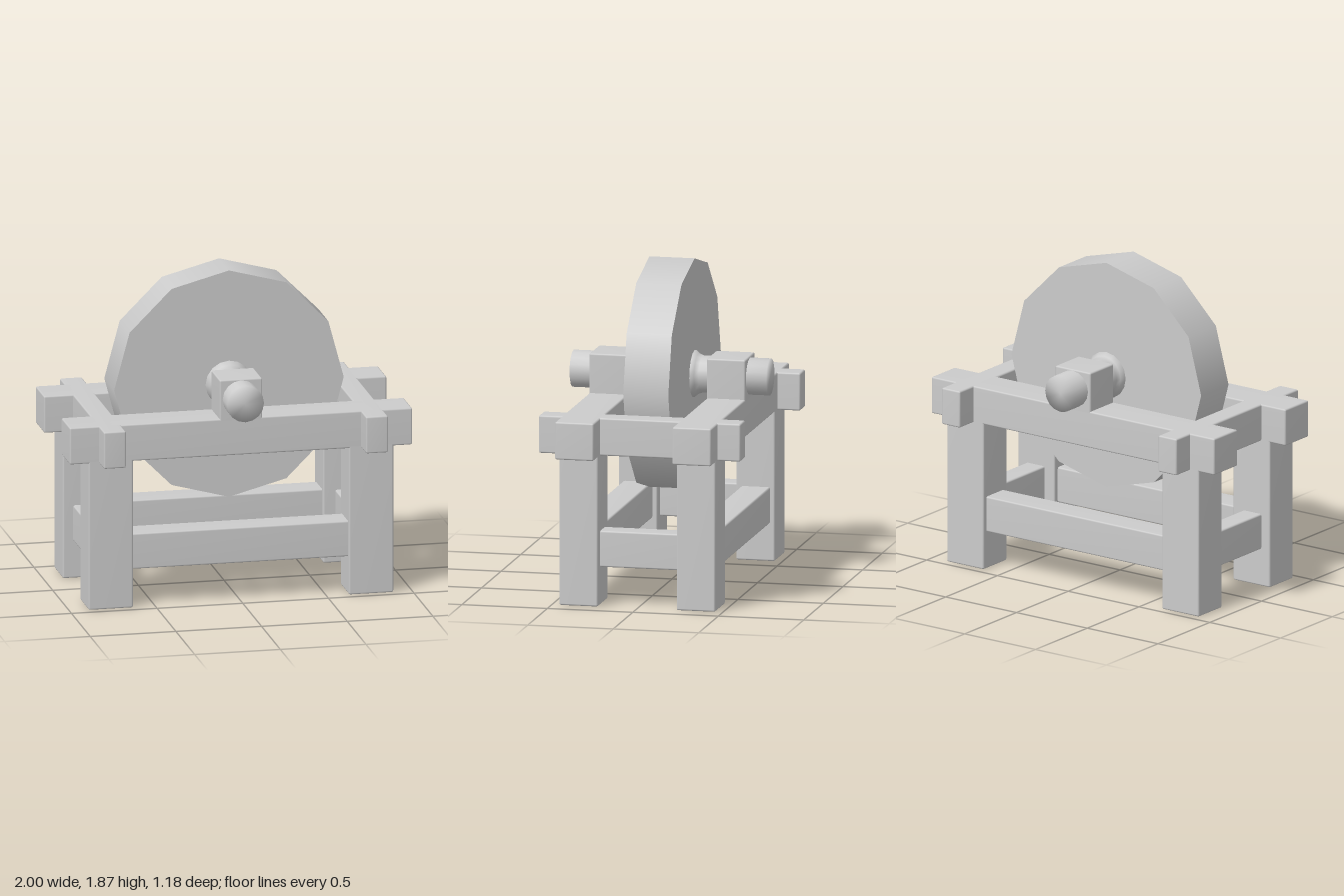
import * as THREE from 'three';
import { mergeVertices } from 'three/addons/utils/BufferGeometryUtils.js';
import { RoundedBoxGeometry } from 'three/addons/geometries/RoundedBoxGeometry.js';

const material = new THREE.MeshStandardMaterial({ color: 0xcccccc });

// Timber with a narrow bevel and soft shading, given by its min and max corners
function beam(name, [x0, y0, z0], [x1, y1, z1]) {
  const raw = new RoundedBoxGeometry(x1 - x0, y1 - y0, z1 - z0, 1, 0.01);
  raw.deleteAttribute('normal');
  raw.deleteAttribute('uv');
  const geometry = mergeVertices(raw, 1e-4);
  geometry.computeVertexNormals();
  const mesh = new THREE.Mesh(geometry, material);
  mesh.name = name;
  mesh.position.set((x0 + x1) / 2, (y0 + y1) / 2, (z0 + z1) / 2);
  return mesh;
}

export function createModel() {
  const model = new THREE.Group();
  model.name = 'grindstone';
  const inner = 0.23, outer = 0.457;
  const railBottom = 0.867, railTop = 1.085;
  const axleY = 1.2;

  // Front and back frames
  for (const side of [1, -1]) {
    const label = side > 0 ? 'front' : 'back';
    const span = (name, x0, x1, y0, y1, a, b) => model.add(
      beam(label + name, [x0, y0, Math.min(a * side, b * side)], [x1, y1, Math.max(a * side, b * side)]));
    span('Rail', -1, 1, railBottom, railTop, inner, outer);
    span('Stretcher', -0.65, 0.65, 0.22, 0.43, 0.26, 0.43);
    span('BearingBlock', -0.125, 0.125, railTop - 0.02, 1.315, inner, outer);
    span('LeftLeg', 0.63, 0.89, 0, railBottom + 0.02, inner, outer);
    span('RightLeg', -0.89, -0.63, 0, railBottom + 0.02, inner, outer);
  }

  // Cross rails and lower side stretchers
  for (const [label, x] of [['left', 0.765], ['right', -0.765]]) {
    model.add(beam(label + 'CrossRail', [x - 0.065, railBottom, -0.59], [x + 0.065, railTop, 0.59]));
    model.add(beam(label + 'Stretcher', [x - 0.065, 0.22, -0.25], [x + 0.065, 0.43, 0.25]));
  }

  // Twelve-sided stone wheel with a corner at the top
  const wheel = new THREE.Mesh(new THREE.CylinderGeometry(0.67, 0.67, 0.264, 12), material);
  wheel.name = 'wheel';
  wheel.rotation.x = Math.PI / 2;
  wheel.position.y = axleY;
  model.add(wheel);

  // Axle with flared collars against the wheel and softly shaded ends
  const half = [[0, 0.575], [0.108, 0.575], [0.108, 0.18], [0.118, 0.155], [0.138, 0.13]];
  const profile = [
    ...half.map(([r, h]) => new THREE.Vector2(r, -h)),
    ...half.slice().reverse().map(([r, h]) => new THREE.Vector2(r, h)),
  ];
  const axle = new THREE.Mesh(new THREE.LatheGeometry(profile, 16), material);
  axle.name = 'axle';
  axle.rotation.x = Math.PI / 2;
  axle.position.y = axleY;
  model.add(axle);

  return model;
}
